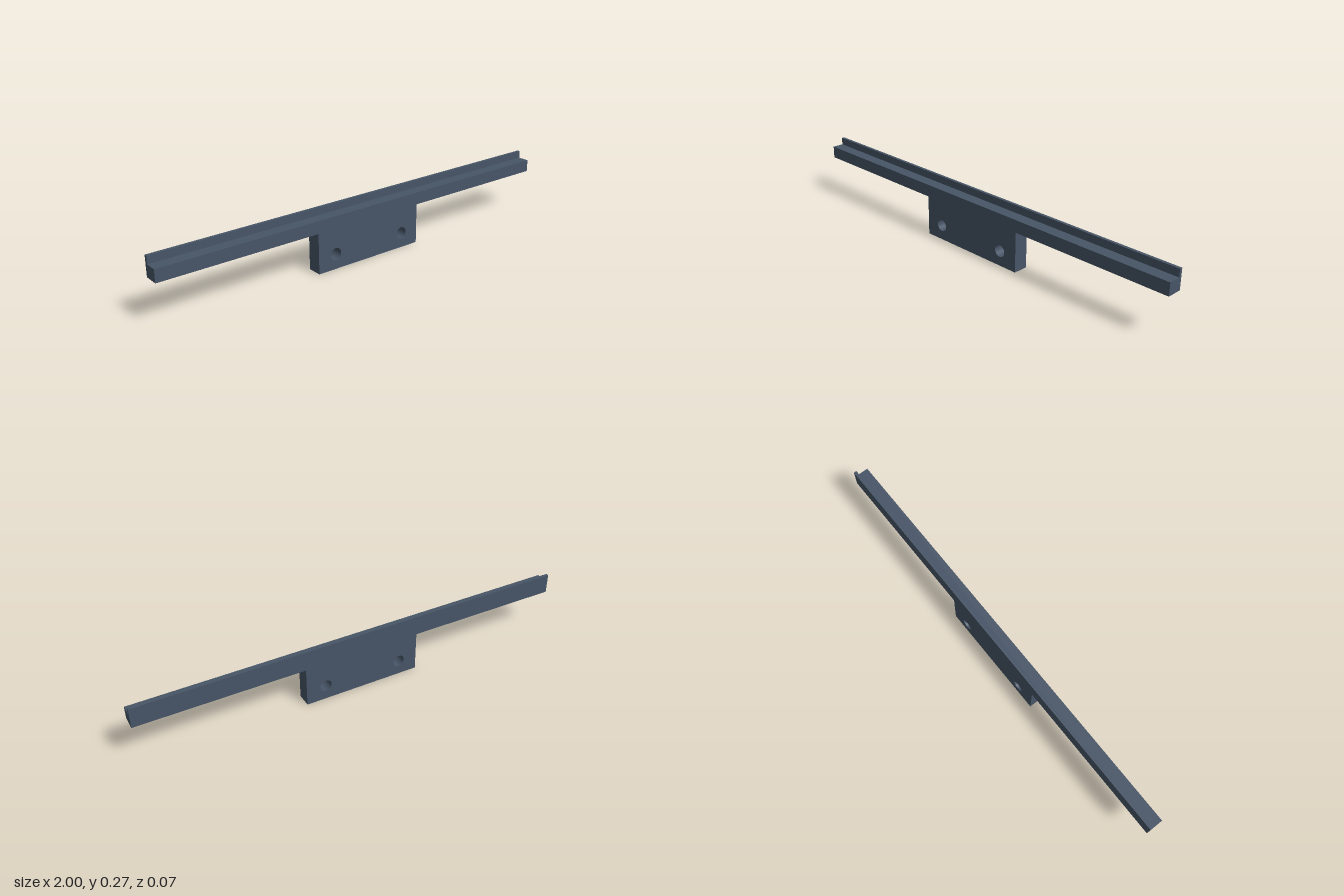
import * as THREE from 'three';

const BACK = -0.0335, FRONT = 0.0335;
const RAIL_BOTTOM = 0.182, RAIL_TOP = 0.238, LIP_TOP = 0.272, LIP_DEPTH = 0.0135;
const TAB_LEFT = 0.262, TAB_RIGHT = -0.278;

export function createModel() {
  const model = new THREE.Group();
  model.name = 'mountingRail';
  const slate = new THREE.MeshStandardMaterial({ color: 0x475567 });
  slate.name = 'slate';

  // T-shaped body: long rail with the mounting tab below
  const outline = new THREE.Shape([
    [TAB_RIGHT, 0], [TAB_LEFT, 0], [TAB_LEFT, RAIL_BOTTOM], [1, RAIL_BOTTOM],
    [1, RAIL_TOP], [-1, RAIL_TOP], [-1, RAIL_BOTTOM], [TAB_RIGHT, RAIL_BOTTOM],
  ].map(([x, y]) => new THREE.Vector2(x, y)));

  // Two screw holes through the tab
  for (const x of [-0.19, 0.172]) {
    const hole = new THREE.Path();
    hole.absarc(x, 0.068, 0.027, 0, Math.PI * 2, true);
    outline.holes.push(hole);
  }
  const bodyGeometry = new THREE.ExtrudeGeometry(outline, {
    depth: FRONT - BACK, bevelEnabled: false, curveSegments: 32,
  });
  const body = new THREE.Mesh(bodyGeometry, slate);
  body.name = 'railAndTab';
  body.position.z = BACK;
  model.add(body);

  // Thin upright lip along the back edge of the rail
  const lip = new THREE.Mesh(new THREE.BoxGeometry(2, LIP_TOP - RAIL_TOP, LIP_DEPTH), slate);
  lip.name = 'backLip';
  lip.position.set(0, (LIP_TOP + RAIL_TOP) / 2, BACK + LIP_DEPTH / 2);
  model.add(lip);

  return model;
}
